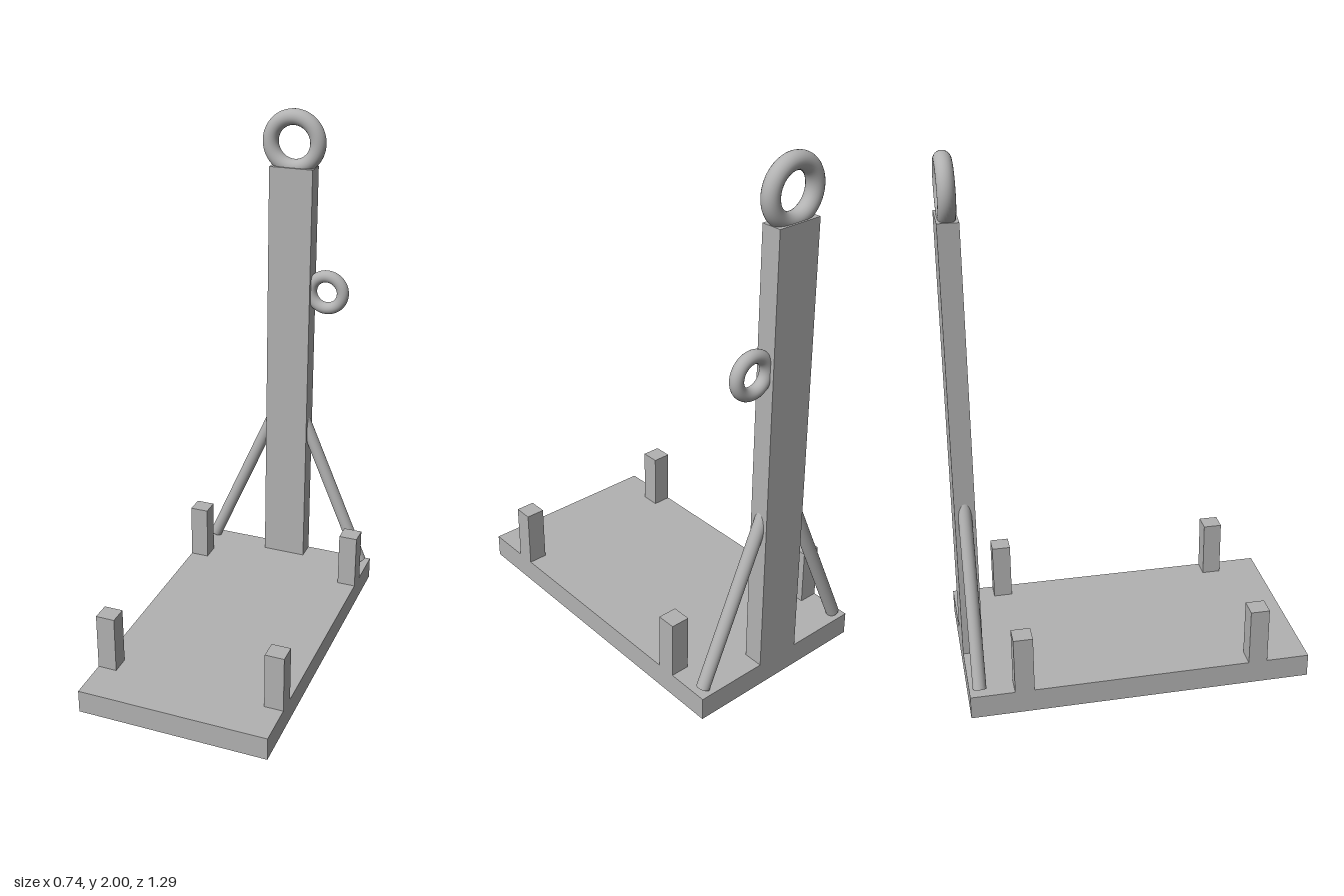
import * as THREE from 'three';

export function createModel() {
  const model = new THREE.Group();
  const grey = new THREE.MeshStandardMaterial({ color: 0xb2b2b2 });
  grey.name = 'plain grey';

  const add = (name, geometry, x, y, z) => {
    const mesh = new THREE.Mesh(geometry, grey);
    mesh.name = name;
    mesh.position.set(x, y, z);
    model.add(mesh);
    return mesh;
  };

  const baseHeight = 0.09;
  const mastZ = -0.607;

  // Base slab and tall mast at its rear edge
  add('base', new THREE.BoxGeometry(0.736, baseHeight, 1.29), 0, baseHeight / 2, 0);
  add('mast', new THREE.BoxGeometry(0.176, 1.69, 0.076), 0, baseHeight + 0.845, mastZ);

  // Rings on top of the mast and on its left side
  add('topRing', new THREE.TorusGeometry(0.096, 0.031, 24, 64), 0, 1.873, mastZ);
  add('sideRing', new THREE.TorusGeometry(0.066, 0.024, 24, 48), 0.148, 1.288, mastZ);

  for (const side of [-1, 1]) {
    const name = side > 0 ? 'left' : 'right';

    // Short square posts near the corners
    for (const end of [-1, 1]) {
      add(name + (end > 0 ? 'FrontPost' : 'RearPost'),
        new THREE.BoxGeometry(0.073, 0.222, 0.072),
        side * 0.3315, baseHeight + 0.111, end * 0.445);
    }

    // Round brace from the base up into the mast
    const foot = new THREE.Vector3(side * 0.333, 0.1, mastZ);
    const head = new THREE.Vector3(side * 0.06, 0.737, mastZ);
    const along = head.clone().sub(foot);
    const middle = foot.clone().add(head).multiplyScalar(0.5);
    const brace = add(name + 'Brace',
      new THREE.CylinderGeometry(0.025, 0.025, along.length(), 24),
      middle.x, middle.y, middle.z);
    brace.quaternion.setFromUnitVectors(new THREE.Vector3(0, 1, 0), along.normalize());
  }

  return model;
}
